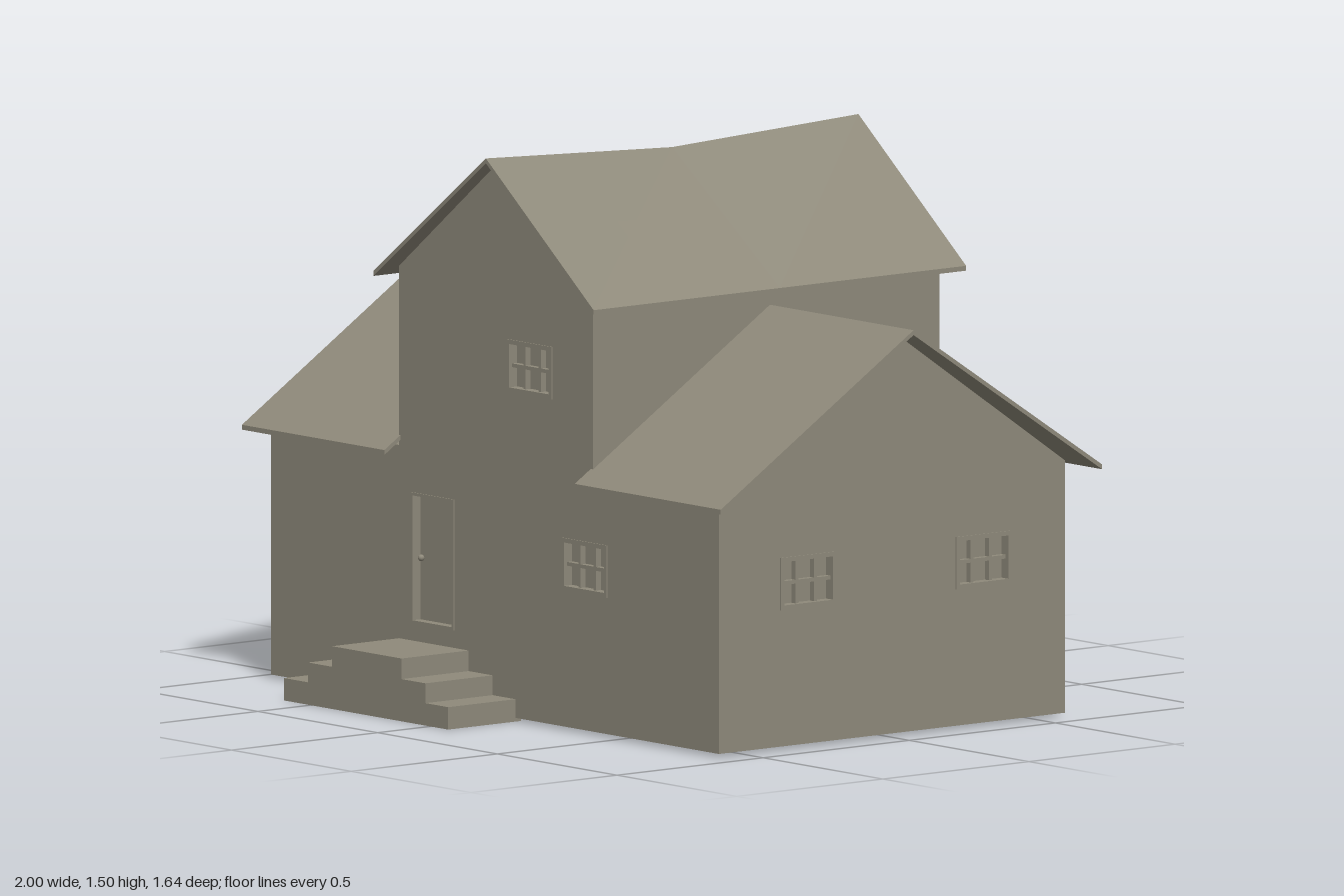
import * as THREE from 'three';

const stone = new THREE.MeshStandardMaterial({ color: 0x8f8a7b, side: THREE.DoubleSide });
stone.name = 'warm grey';

const WALL = 0.05; // wall thickness

function add(parent, geometry, name) {
  const mesh = new THREE.Mesh(geometry, stone);
  mesh.name = name;
  parent.add(mesh);
  return mesh;
}

// Box given by its minimum and maximum corners
function box(parent, name, [x0, y0, z0], [x1, y1, z1]) {
  const g = new THREE.BoxGeometry(x1 - x0, y1 - y0, z1 - z0);
  g.translate((x0 + x1) / 2, (y0 + y1) / 2, (z0 + z1) / 2);
  return add(parent, g, name);
}

function polygon(points) {
  return new THREE.Shape(points.map(([x, y]) => new THREE.Vector2(x, y)));
}

// Border strips around an opening
function casing(parent, [u0, v0, u1, v1], w, back, front) {
  box(parent, 'frameSide', [u0, v0, back], [u0 + w, v1, front]);
  box(parent, 'frameSide', [u1 - w, v0, back], [u1, v1, front]);
  box(parent, 'frameBottom', [u0 + w, v0, back], [u1 - w, v0 + w, front]);
  box(parent, 'frameTop', [u0 + w, v1 - w, back], [u1 - w, v1, front]);
}

// Recessed window: pane, frame and a three by two grid of bars
function addWindow(parent, rect) {
  const [u0, v0, u1, v1] = rect;
  const group = new THREE.Group();
  group.name = 'window';
  box(group, 'pane', [u0, v0, -0.035], [u1, v1, -0.025]);
  casing(group, rect, 0.012, -0.025, 0.003);
  for (const t of [1 / 3, 2 / 3]) {
    const u = u0 + (u1 - u0) * t;
    box(group, 'uprightBar', [u - 0.005, v0, -0.025], [u + 0.005, v1, -0.008]);
  }
  const v = (v0 + v1) / 2;
  box(group, 'crossBar', [u0, v - 0.005, -0.025], [u1, v + 0.005, -0.008]);
  parent.add(group);
}

// Recessed door with a small knob
function addDoor(parent, rect) {
  const [u0, v0, u1, v1] = rect;
  const group = new THREE.Group();
  group.name = 'door';
  box(group, 'doorLeaf', [u0, v0, -0.035], [u1, v1, -0.025]);
  casing(group, rect, 0.008, -0.025, 0.003);
  const knob = add(group, new THREE.SphereGeometry(0.009, 10, 8), 'doorKnob');
  knob.position.set(u0 + 0.022, v0 + 0.175, -0.016);
  parent.add(group);
}

// Upright wall with its outer face at local z = 0, openings cut through it
function wall(parent, name, outline, windows, doors = []) {
  const group = new THREE.Group();
  group.name = name;
  const shape = polygon(outline);
  for (const [u0, v0, u1, v1] of [...windows, ...doors]) {
    shape.holes.push(polygon([[u0, v0], [u0, v1], [u1, v1], [u1, v0]]));
  }
  const g = new THREE.ExtrudeGeometry(shape, { depth: WALL, bevelEnabled: false });
  g.translate(0, 0, -WALL);
  add(group, g, 'wallPanel');
  windows.forEach((r) => addWindow(group, r));
  doors.forEach((r) => addDoor(group, r));
  parent.add(group);
  return group;
}

// Thin folded roof along z; the ridge can sag in the middle
function roof(parent, name, eaveA, eaveB, eaveY, ridgeX, ridgeY, length, sag = 0) {
  const t = 0.013;
  const shape = polygon([
    [eaveA, eaveY], [ridgeX, ridgeY - t], [eaveB, eaveY],
    [eaveB, eaveY + t], [ridgeX, ridgeY], [eaveA, eaveY + t],
  ]);
  const g = new THREE.ExtrudeGeometry(shape, { depth: length, steps: 2, bevelEnabled: false });
  g.translate(0, 0, -length / 2);
  const p = g.attributes.position;
  for (let i = 0; i < p.count; i++) {
    if (Math.abs(p.getX(i) - ridgeX) < 0.001) {
      p.setY(i, p.getY(i) - sag * (1 - Math.abs(p.getZ(i)) / (length / 2)));
    }
  }
  g.computeVertexNormals();
  return add(parent, g, name);
}

// Stepped stoop, rising from both sides to a landing
function stoop(parent, name, stepsX, z0, z1) {
  const [a, b, c, d, e, f] = stepsX;
  const outline = [
    [a, 0], [f, 0], [f, 0.06], [e, 0.06], [e, 0.113], [d, 0.113],
    [d, 0.168], [c, 0.168], [c, 0.113], [b, 0.113], [b, 0.06], [a, 0.06],
  ];
  const g = new THREE.ExtrudeGeometry(polygon(outline), { depth: z1 - z0, bevelEnabled: false });
  g.translate(0, 0, z0);
  add(parent, g, name);
}

export function createModel() {
  const house = new THREE.Group();
  house.name = 'house';

  const left = 0.925, right = -0.945, front = 0.59, back = -0.595;
  const base = 0.01, eave = 0.685;

  // Long walls, each rising into the tall middle gable
  const longOutline = [
    [right, base], [left, base], [left, eave], [0.4, eave], [0.4, 1.165],
    [0, 1.485], [-0.41, 1.165], [-0.41, eave], [right, eave],
  ];
  const frontWall = wall(house, 'frontWall', longOutline,
    [[0.27, 0.375, 0.46, 0.515], [0.04, 0.88, 0.23, 1.02]],
    [[-0.36, 0.215, -0.18, 0.565]]);
  frontWall.position.z = front;

  const backWall = wall(house, 'backWall', longOutline.map(([x, y]) => [-x, y]).reverse(),
    [[-0.66, 0.375, -0.47, 0.515], [0.51, 0.375, 0.7, 0.515], [-0.11, 0.88, 0.08, 1.02]],
    [[-0.11, 0.215, 0.07, 0.565]]);
  backWall.rotation.y = Math.PI;
  backWall.position.z = back;

  // Gabled end walls
  const endOutline = (s) => [
    [s * front, base], [s * back, base], [s * back, eave], [s * -0.01, 1.082], [s * front, eave],
  ];
  const leftWall = wall(house, 'leftEndWall', endOutline(-1),
    [[-0.38, 0.375, -0.19, 0.515], [0.22, 0.375, 0.41, 0.515]]);
  leftWall.rotation.y = Math.PI / 2;
  leftWall.position.x = left;

  const rightWall = wall(house, 'rightEndWall', endOutline(1), [[-0.095, 0.375, 0.095, 0.515]]);
  rightWall.rotation.y = -Math.PI / 2;
  rightWall.position.x = right;

  // Floor and the side walls of the raised middle block
  box(house, 'floor', [right, base, back], [left, base + 0.03, front]);
  box(house, 'upperLeftWall', [0.35, 0.6, back], [0.4, 1.165, front]);
  box(house, 'upperRightWall', [-0.41, 0.6, back], [-0.36, 1.165, front]);

  // Roofs: the sagging middle one and the two lower wings
  roof(house, 'mainRoof', -0.47, 0.45, 1.134, 0, 1.502, 1.275, 0.029).position.z = -0.008;
  for (const [name, x0, x1] of [['leftWingRoof', 0.39, 1], ['rightWingRoof', -1, -0.405]]) {
    const wing = roof(house, name, -0.645, 0.66, 0.664, 0.015, 1.096, x1 - x0);
    wing.rotation.y = Math.PI / 2;
    wing.position.x = (x0 + x1) / 2;
  }

  // Entrance steps
  stoop(house, 'frontSteps', [-0.61, -0.51, -0.41, -0.12, -0.02, 0.075], 0.57, 0.82);
  stoop(house, 'backSteps', [-0.325, -0.225, -0.13, 0.165, 0.26, 0.365], -0.825, -0.57);

  return house;
}
